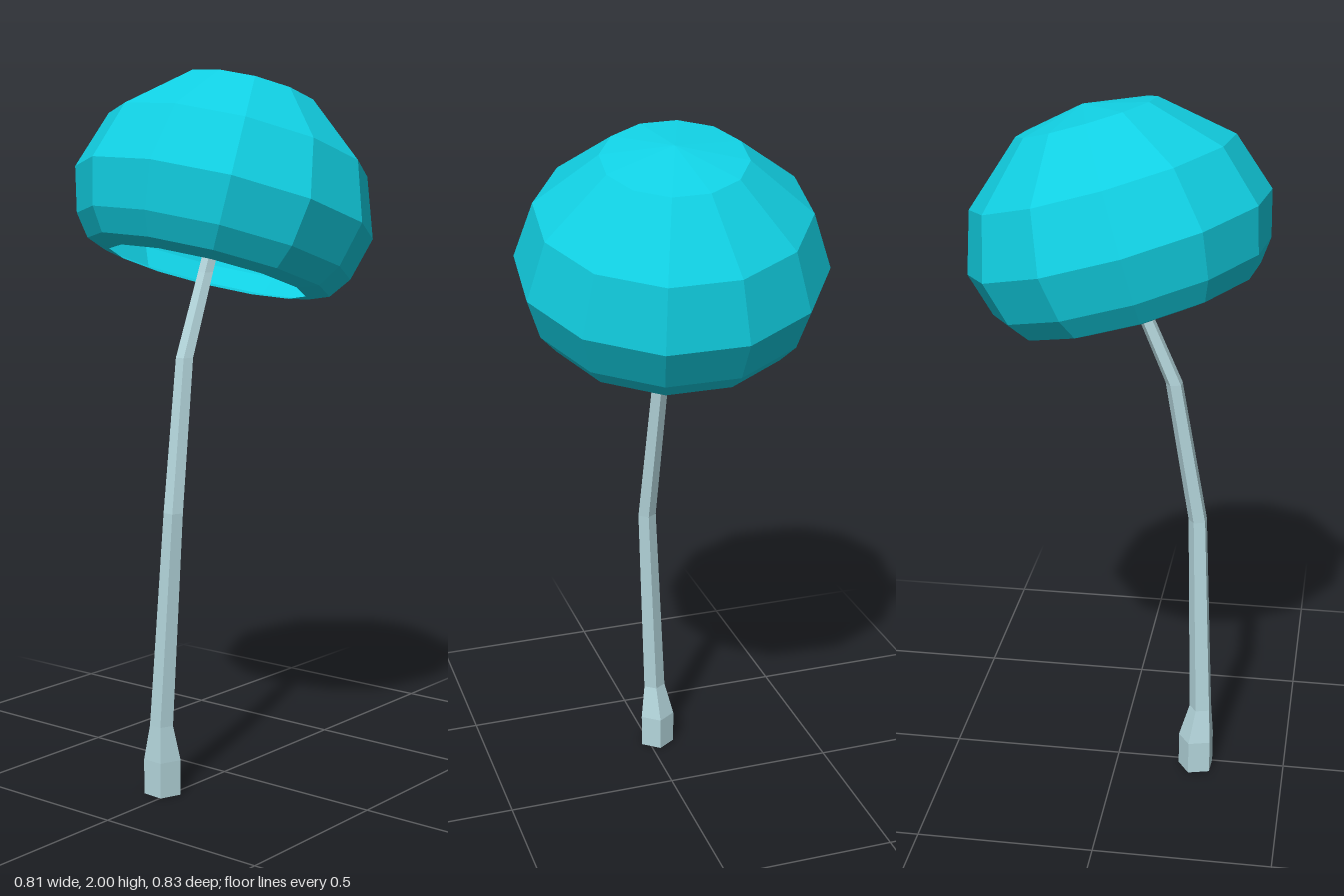
import * as THREE from 'three';

const rad = THREE.MathUtils.degToRad;

// Five-sided stem: each row of a cylinder is moved onto one station of the bent path
function createStem() {
  // x, y, z, radius
  const stations = [
    [-0.24, 0, -0.027, 0.054],
    [-0.24, 0.1, -0.027, 0.054],
    [-0.25, 0.2, -0.022, 0.034],
    [-0.228, 0.8, 0.005, 0.028],
    [-0.157, 1.22, -0.013, 0.025],
    [-0.06, 1.45, -0.018, 0.022],
    [0.11, 1.93, 0.0, 0.02],
  ];
  const rows = stations.length - 1;
  const geometry = new THREE.CylinderGeometry(1, 1, 1, 5, rows, false, rad(15));
  const p = geometry.attributes.position;
  for (let i = 0; i < p.count; i++) {
    const [x, y, z, r] = stations[Math.round((p.getY(i) + 0.5) * rows)];
    p.setXYZ(i, x + p.getX(i) * r, y, z + p.getZ(i) * r);
  }
  geometry.computeVertexNormals();
  const stem = new THREE.Mesh(
    geometry,
    new THREE.MeshStandardMaterial({ color: 0xb4d6dc, flatShading: true })
  );
  stem.name = 'stem';
  return stem;
}

// Hollow twelve-sided cap with a lip curling in around the opening below
function createCap() {
  // radius, height along the cap axis
  const profile = [
    [0.28, -0.2],
    [0.345, -0.185],
    [0.39, -0.125],
    [0.425, 0],
    [0.37, 0.166],
    [0.195, 0.317],
    [0, 0.352],
  ].map(([r, h]) => new THREE.Vector2(r, h));
  const cap = new THREE.Mesh(
    new THREE.LatheGeometry(profile, 12, rad(10)),
    new THREE.MeshStandardMaterial({ color: 0x11cfe2, flatShading: true, side: THREE.DoubleSide })
  );
  cap.name = 'cap';
  // Leans to the side and slightly forward
  const axis = new THREE.Vector3(0.285, 0.955, 0.07).normalize();
  cap.quaternion.setFromUnitVectors(new THREE.Vector3(0, 1, 0), axis);
  cap.position.set(0, 1.64, 0);
  return cap;
}

export function createModel() {
  const group = new THREE.Group();
  group.name = 'mushroom';
  group.add(createStem(), createCap());
  return group;
}
